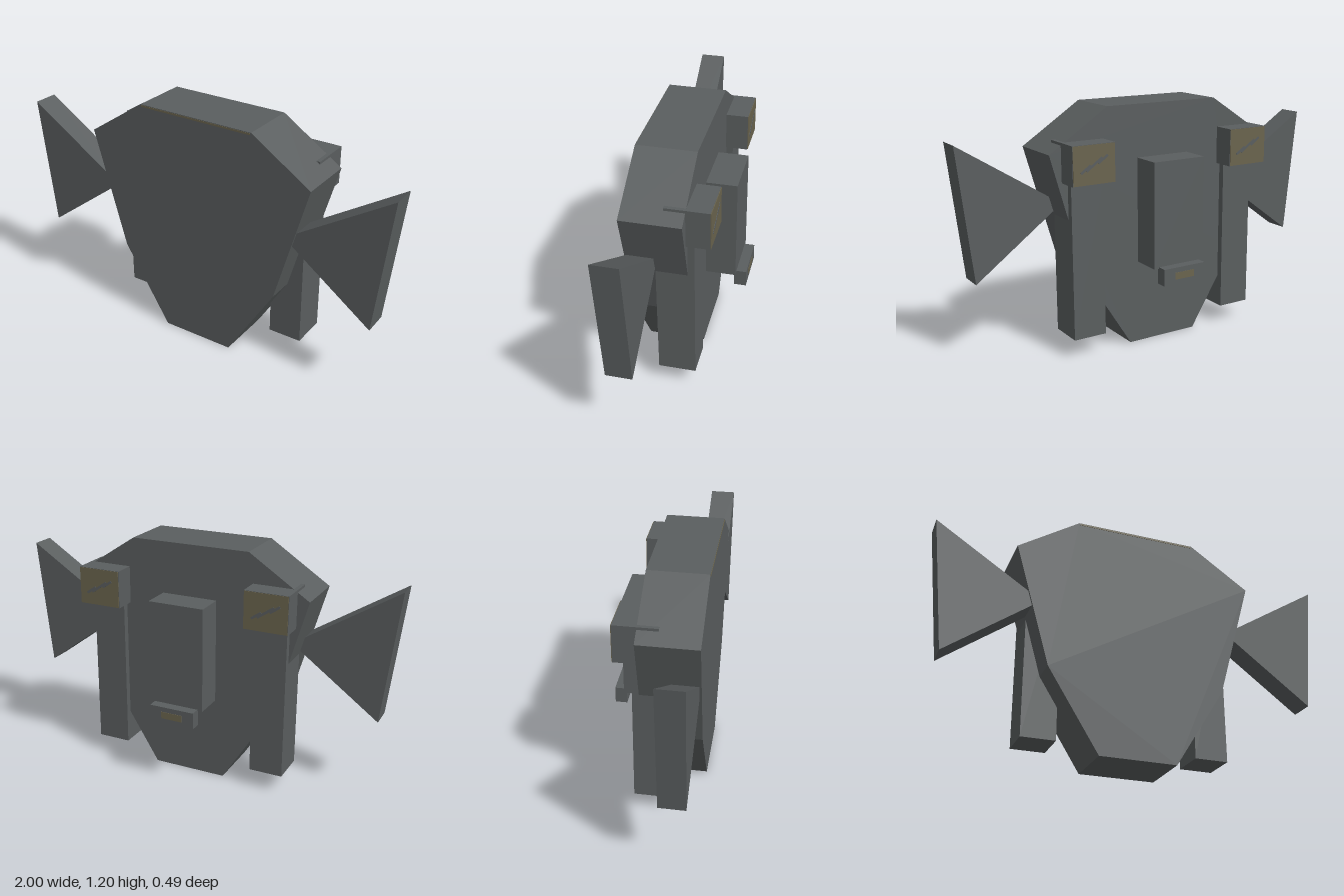
import * as THREE from 'three';

export function createModel() {
  const model = new THREE.Group();
  const grey = new THREE.MeshStandardMaterial({ color: 0x5a5e5f });
  grey.name = 'slate grey';
  const olive = new THREE.MeshStandardMaterial({ color: 0x6a644e });
  olive.name = 'dull olive';

  const add = (name, geometry, material, parent = model) => {
    const mesh = new THREE.Mesh(geometry, material);
    mesh.name = name;
    parent.add(mesh);
    return mesh;
  };

  // Box given by its lower and upper limits on each axis
  const box = (name, [x0, x1], [y0, y1], [z0, z1], material = grey, parent = model) => {
    const geometry = new THREE.BoxGeometry(x1 - x0, y1 - y0, z1 - z0);
    geometry.translate((x0 + x1) / 2, (y0 + y1) / 2, (z0 + z1) / 2);
    return add(name, geometry, material, parent);
  };

  // Flat outline extruded between two depths
  const slab = (name, points, z0, z1, material = grey, parent = model) => {
    const shape = new THREE.Shape(points.map(([x, y]) => new THREE.Vector2(x, y)));
    const geometry = new THREE.ExtrudeGeometry(shape, { depth: z1 - z0, bevelEnabled: false });
    geometry.translate(0, 0, z0);
    return add(name, geometry, material, parent);
  };

  // Faceted main body
  const half = [[0.19, 0], [0.44, 0.4], [0.61, 1.0], [0.305, 1.2]];
  const mirrored = half.map(([x, y]) => [-x, y]).reverse();
  slab('body', [...half, ...mirrored], -0.045, 0.24);
  box('browStrip', [-0.3, 0.3], [1.188, 1.197], [0.238, 0.242], olive);

  // Mirrored side parts
  for (const s of [1, -1]) {
    const side = new THREE.Group();
    side.name = s > 0 ? 'leftSide' : 'rightSide';
    model.add(side);
    const span = (a, b) => (s > 0 ? [a, b] : [-b, -a]);

    slab('fin', [[0.48, 0.73], [0.93, 0.4], [1, 1.06]].map(([x, y]) => [s * x, y]), 0.105, 0.23, grey, side);
    box('leg', span(0.35, 0.52), [0.095, 0.865], [-0.077, 0.105], grey, side);
    box('thrusterBlock', span(0.33, 0.55), [0.865, 1.052], [-0.155, 0.052], grey, side);
    box('thrusterPanel', span(0.332, 0.548), [0.867, 1.05], [-0.158, -0.154], olive, side);

    // Short slanted marks on the rear panel
    for (const [dx, dy, length] of [[-0.045, 0.02, 0.06], [0, 0, 0.1], [0.045, -0.02, 0.06]]) {
      const mark = add('panelMark', new THREE.BoxGeometry(length, 0.012, 0.003), grey, side);
      mark.position.set(s * 0.44 + dx, 0.96 + dy, -0.158);
      mark.rotation.z = -0.6;
    }
  }

  // Central rear housing and the small nozzle below it
  box('rearHousing', [-0.143, 0.143], [0.418, 0.942], [-0.195, 0]);
  box('nozzle', [-0.117, 0.117], [0.34, 0.425], [-0.245, -0.185]);
  box('nozzlePanel', [-0.055, 0.055], [0.365, 0.4], [-0.247, -0.244], olive);

  return model;
}
